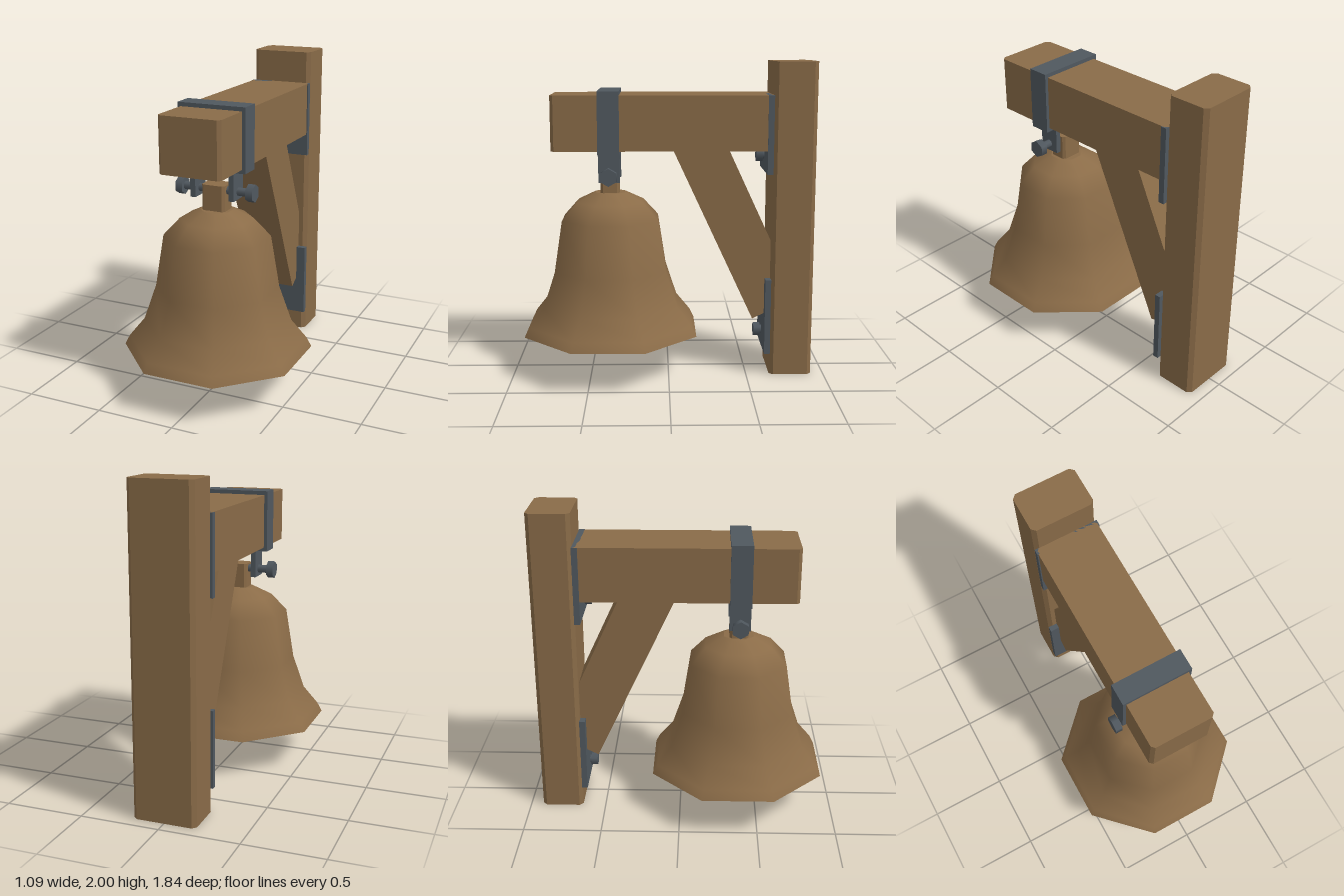
import * as THREE from 'three';

export function createModel() {
  const model = new THREE.Group();
  const mat = (name, color) => new THREE.MeshStandardMaterial({ name, color });
  const wood = mat('wood', 0x896b48);
  const bronze = mat('bronze', 0x8b6c48);
  const iron = mat('iron', 0x50585f);

  function add(name, geometry, material, x = 0, y = 0, z = 0, parent = model) {
    const mesh = new THREE.Mesh(geometry, material);
    mesh.name = name;
    mesh.position.set(x, y, z);
    parent.add(mesh);
    return mesh;
  }

  // Upright block with its four vertical edges chamfered, standing on y = 0
  function chamferedBlock(w, h, d, c) {
    const a = w / 2, b = d / 2;
    const outline = [[a - c, -b], [a, c - b], [a, b - c], [a - c, b], [c - a, b], [-a, b - c], [-a, c - b], [c - a, -b]];
    const shape = new THREE.Shape(outline.map(([x, y]) => new THREE.Vector2(x, y)));
    return new THREE.ExtrudeGeometry(shape, { depth: h, bevelEnabled: false }).rotateX(-Math.PI / 2);
  }

  // Timber frame
  add('post', chamferedBlock(0.4, 2, 0.27, 0.025), wood, 0, 0, -0.785);
  add('beam', chamferedBlock(0.398, 0.345, 1.38, 0.02), wood, 0, 1.45, 0.04);

  // Diagonal brace, outlined in side view as (z, y)
  const side = [[-0.03, 1.452], [-0.38, 1.452], [-0.652, 0.87], [-0.652, 0.415], [-0.54, 0.36]];
  const braceShape = new THREE.Shape(side.map(([z, y]) => new THREE.Vector2(-z, y)));
  const braceGeo = new THREE.ExtrudeGeometry(braceShape, { depth: 0.29, bevelEnabled: false });
  braceGeo.translate(0, 0, -0.145).rotateY(Math.PI / 2);
  add('brace', braceGeo, wood);

  // Wall plates with a hex bolt each
  for (const [name, y, boltY] of [['upper', 1.55, 1.41], ['lower', 0.385, 0.245]]) {
    add(name + 'Plate', new THREE.BoxGeometry(0.412, 0.49, 0.037), iron, 0, y, -0.633);
    add(name + 'BoltHead', new THREE.CylinderGeometry(0.045, 0.045, 0.042, 6).rotateX(Math.PI / 2), iron, 0, boltY, -0.583);
    add(name + 'BoltShank', new THREE.CylinderGeometry(0.028, 0.028, 0.05, 8).rotateX(Math.PI / 2), iron, 0, boltY, -0.61);
  }

  // Hanger: strap around the beam, lugs and cross bolts
  const hanger = new THREE.Group();
  hanger.name = 'hanger';
  hanger.position.z = 0.372;
  model.add(hanger);
  const rect = (P, a, y0, y1) => {
    const p = new P();
    p.moveTo(-a, y0).lineTo(a, y0).lineTo(a, y1).lineTo(-a, y1).closePath();
    return p;
  };
  const strapShape = rect(THREE.Shape, 0.22, 1.425, 1.82);
  strapShape.holes.push(rect(THREE.Path, 0.196, 1.452, 1.793));
  const strapGeo = new THREE.ExtrudeGeometry(strapShape, { depth: 0.134, bevelEnabled: false });
  add('strap', strapGeo.translate(0, 0, -0.067), iron, 0, 0, 0, hanger);
  for (const s of [1, -1]) {
    add('lug', new THREE.BoxGeometry(0.034, 0.18, 0.134), iron, s * 0.127, 1.337, 0, hanger);
    add('crossBolt', new THREE.CylinderGeometry(0.026, 0.026, 0.16, 8).rotateZ(Math.PI / 2), iron, s * 0.14, 1.295, 0, hanger);
    // Quarter turn so that the hexagon points upward
    const head = new THREE.CylinderGeometry(0.056, 0.056, 0.045, 6).rotateY(Math.PI / 2).rotateZ(Math.PI / 2);
    add('crossBoltHead', head, iron, s * 0.233, 1.295, 0, hanger);
  }

  // Bell: eight-sided, with profiles given as (half width across flats, height)
  const bell = new THREE.Group();
  bell.name = 'bell';
  bell.position.z = 0.37;
  model.add(bell);
  const toCorner = 1 / Math.cos(Math.PI / 8);
  const lathe = (pts) => new THREE.LatheGeometry(
    pts.map(([r, y]) => new THREE.Vector2(r * toCorner, y)), 8, Math.PI / 8);
  const outer = [[0.547, 0.265], [0.518, 0.325], [0.427, 0.445], [0.355, 0.67], [0.305, 1], [0.21, 1.11], [0.095, 1.17]];
  const inner = [[0, 1.12], [0.17, 1.075], [0.262, 0.98], [0.31, 0.67], [0.385, 0.43], [0.475, 0.315], [0.505, 0.265]];
  add('bellOutside', lathe(outer), bronze, 0, 0, 0, bell);
  add('bellInside', lathe(inner), bronze, 0, 0, 0, bell);
  add('bellLip', lathe([inner[6], outer[0]]), bronze, 0, 0, 0, bell);
  add('bellTop', lathe([outer[6], [0, 1.172]]), bronze, 0, 0, 0, bell);
  add('bellStem', chamferedBlock(0.15, 0.18, 0.12, 0.015), bronze, 0, 1.15, 0, bell);

  // Clapper
  add('clapperRod', new THREE.CylinderGeometry(0.014, 0.014, 0.84, 6), iron, 0, 0.71, 0, bell);
  const ball = new THREE.IcosahedronGeometry(0.105, 1);
  add('clapperBall', ball, iron, 0, 0.28, 0, bell);

  return model;
}
